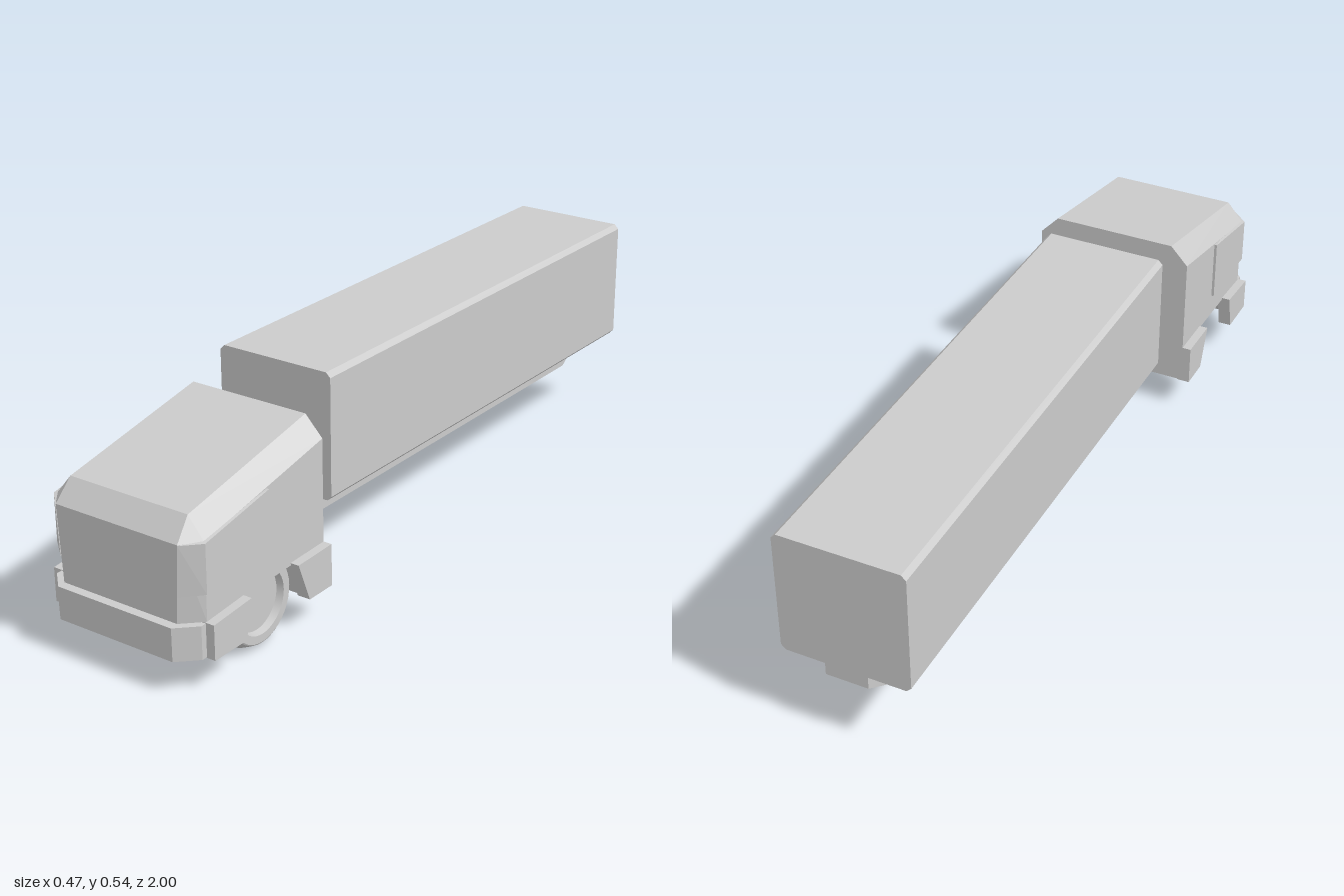
import * as THREE from 'three';
import { ConvexGeometry } from 'three/addons/geometries/ConvexGeometry.js';

const grey = new THREE.MeshStandardMaterial({ color: 0xcccccc, flatShading: true });
const smooth = new THREE.MeshStandardMaterial({ color: 0xcccccc, side: THREE.DoubleSide });

export function createModel() {
  const model = new THREE.Group();
  const add = (parent, name, geometry, material = grey) => {
    const mesh = new THREE.Mesh(geometry, material);
    mesh.name = name;
    parent.add(mesh);
    return mesh;
  };
  const hull = (points) => new ConvexGeometry(points.map((p) => new THREE.Vector3(...p)));
  // Solid hull symmetric about x = 0
  const mirrored = (points) => hull(points.flatMap(([x, y, z]) => [[x, y, z], [-x, y, z]]));
  // Side outline of [z, y] points swept from x0 to x1
  const slab = (x0, x1, outline) => hull(outline.flatMap(([z, y]) => [[x0, y, z], [x1, y, z]]));

  // Cab
  const cab = new THREE.Group();
  cab.name = 'cab';
  model.add(cab);
  add(cab, 'cabBody', mirrored([
    [0.212, 0.185, 0.515], [0.212, 0.45, 0.515], [0.165, 0.5, 0.515],
    [0.212, 0.17, 0.935], [0.212, 0.363, 0.935], [0.169, 0.415, 0.935],
    [0.165, 0.17, 0.98], [0.175, 0.362, 0.98],
  ]));
  add(cab, 'rearLowerBody', slab(-0.212, 0.212,
    [[0.515, 0.19], [0.515, 0.085], [0.595, 0.085], [0.64, 0.19]]));
  add(cab, 'frontLowerBody', slab(-0.212, 0.212,
    [[0.935, 0.175], [0.935, 0.085], [0.89, 0.085], [0.81, 0.178]]));
  add(cab, 'bumper', mirrored([0.085, 0.168].flatMap((y) => [
    [0.212, y, 0.93], [0.212, y, 0.955], [0.165, y, 1],
  ])));

  // Side panels wrapping the front corners, and fenders
  for (const s of [1, -1]) {
    const side = s > 0 ? 'left' : 'right';
    add(cab, side + 'DoorPanel', hull([
      [0.219, 0.24, 0.72], [0.219, 0.405, 0.72], [0.2, 0.24, 0.72], [0.2, 0.405, 0.72],
      [0.219, 0.24, 0.94], [0.219, 0.362, 0.94], [0.17, 0.235, 0.981], [0.176, 0.361, 0.981],
    ].map(([x, y, z]) => [s * x, y, z])));
    add(cab, side + 'FrontFender', slab(s * 0.2, s * 0.235,
      [[0.94, 0.17], [0.94, 0.083], [0.83, 0.083], [0.81, 0.18]]));
    add(cab, side + 'RearFender', slab(s * 0.2, s * 0.235,
      [[0.515, 0.19], [0.515, 0.083], [0.6, 0.083], [0.64, 0.187]]));
  }

  // Single front wheel: ridged tyre with recessed rim
  const profile = [
    [0, -0.036], [0.076, -0.036], [0.1, -0.038], [0.103, -0.036], [0.115, 0.002],
    [0.103, 0.028], [0.1, 0.03], [0.08, 0.03], [0.076, 0.012], [0, 0.012],
  ];
  // Each profile segment is its own lathe so the edges stay crisp
  const wheel = new THREE.Group();
  wheel.name = 'frontWheel';
  for (let i = 0; i < profile.length - 1; i++) {
    const pair = [profile[i], profile[i + 1]].map((p) => new THREE.Vector2(...p));
    add(wheel, 'wheelBand' + (i + 1), new THREE.LatheGeometry(pair, 40), smooth);
  }
  wheel.rotation.z = -Math.PI / 2;
  wheel.position.set(0.161, 0.115, 0.72);
  cab.add(wheel);

  // Trailer
  const trailer = new THREE.Group();
  trailer.name = 'trailer';
  model.add(trailer);
  const c = 0.012;
  const [l, r, b, t] = [-0.198, 0.13, 0.213, 0.542];
  const section = [
    [l + c, b], [r - c, b], [r, b + c], [r, t - c],
    [r - c, t], [l + c, t], [l, t - c], [l, b + c],
  ];
  add(trailer, 'trailerBox', hull(section.flatMap(([x, y]) => [[x, y, -1], [x, y, 0.373]])));
  add(trailer, 'chassisRail', slab(-0.09, 0.018,
    [[0.465, 0.215], [0.465, 0.18], [-1, 0.18], [-1, 0.215]]));
  add(trailer, 'chassisKeel', slab(-0.09, 0.018,
    [[0.373, 0.18], [0.28, 0.117], [-0.91, 0.117], [-1, 0.18]]));
  return model;
}
